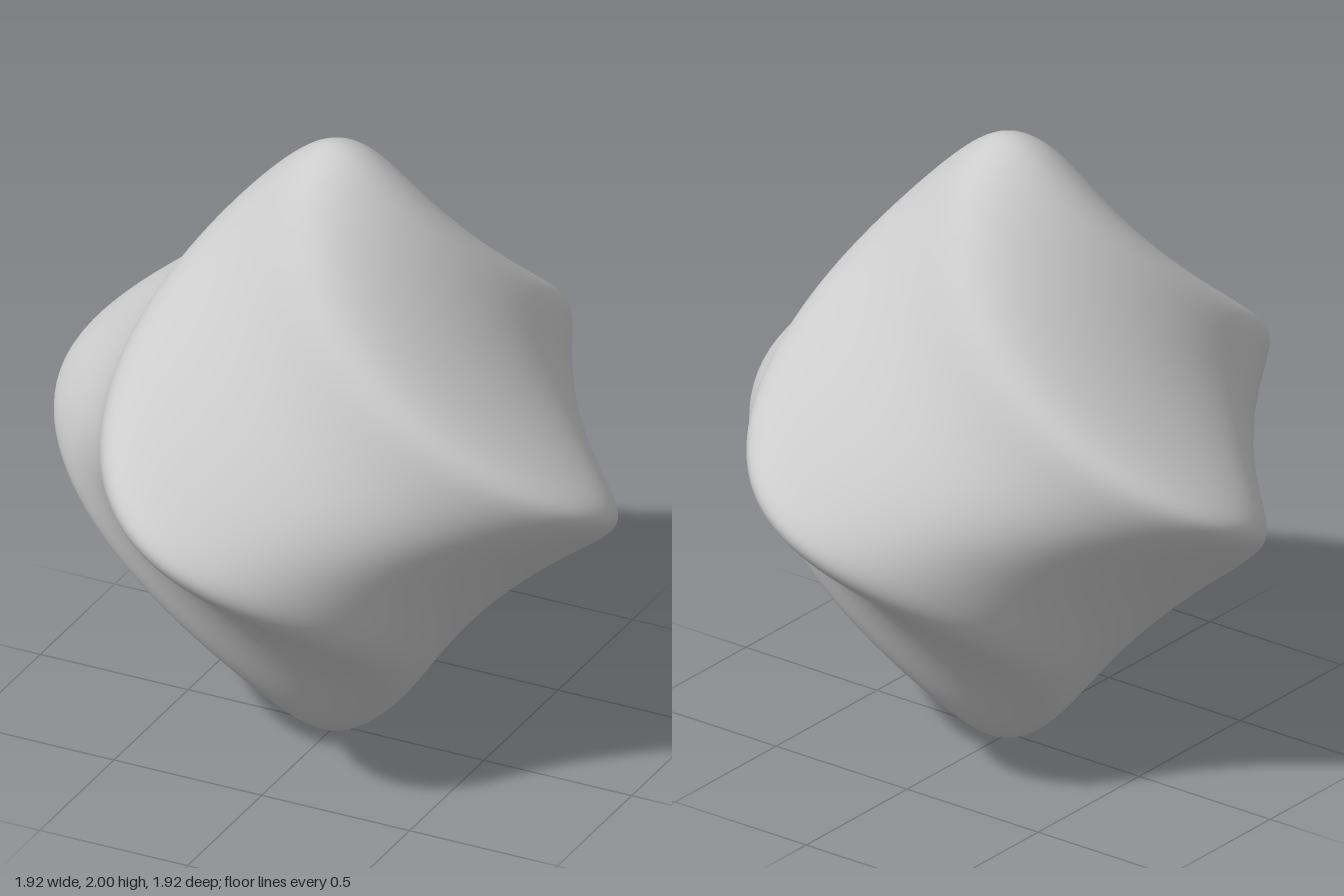
import * as THREE from 'three';
import { mergeVertices } from 'three/addons/utils/BufferGeometryUtils.js';

const SOFT = 0.2;      // rounding of the six tips
const POWER = 0.8;     // below 1 hollows the sides slightly
const GIRTH = 0.965;   // sideways scale
const TWIST = 1.5;     // radians per unit of height
const TURN = 0.14;     // rotation at mid-height

// Level function of a soft six-pointed octahedron
const term = (v) => Math.pow(v * v + SOFT * SOFT, POWER / 2);
const level = (x, y, z) => term(x) + term(y) + term(z);
const SURFACE = level(0, 1, 0);

// Distance from the centre to the surface along a unit direction
function radiusAlong(n) {
  let lo = 0.3, hi = 1.2;
  for (let i = 0; i < 30; i++) {
    const r = (lo + hi) / 2;
    if (level(n.x * r, n.y * r, n.z * r) < SURFACE) lo = r;
    else hi = r;
  }
  return (lo + hi) / 2;
}

export function createModel() {
  const group = new THREE.Group();
  group.name = 'twistedOctahedron';

  // Weld the sphere so that the normals run smoothly over the seam
  const sphere = new THREE.SphereGeometry(1, 192, 128);
  sphere.deleteAttribute('uv');
  sphere.deleteAttribute('normal');
  const geometry = mergeVertices(sphere, 1e-5);

  // Shape the sphere into the soft octahedron, then twist it about y
  const pos = geometry.attributes.position;
  const p = new THREE.Vector3();
  for (let i = 0; i < pos.count; i++) {
    p.fromBufferAttribute(pos, i).normalize();
    p.multiplyScalar(radiusAlong(p));
    const a = TURN + TWIST * p.y;
    const c = Math.cos(a) * GIRTH, s = Math.sin(a) * GIRTH;
    pos.setXYZ(i, p.x * c - p.z * s, p.y + 1, p.x * s + p.z * c);
  }
  geometry.computeVertexNormals();

  const body = new THREE.Mesh(geometry, new THREE.MeshStandardMaterial({ color: 0xcccccc }));
  body.name = 'twistedBody';
  group.add(body);
  return group;
}
